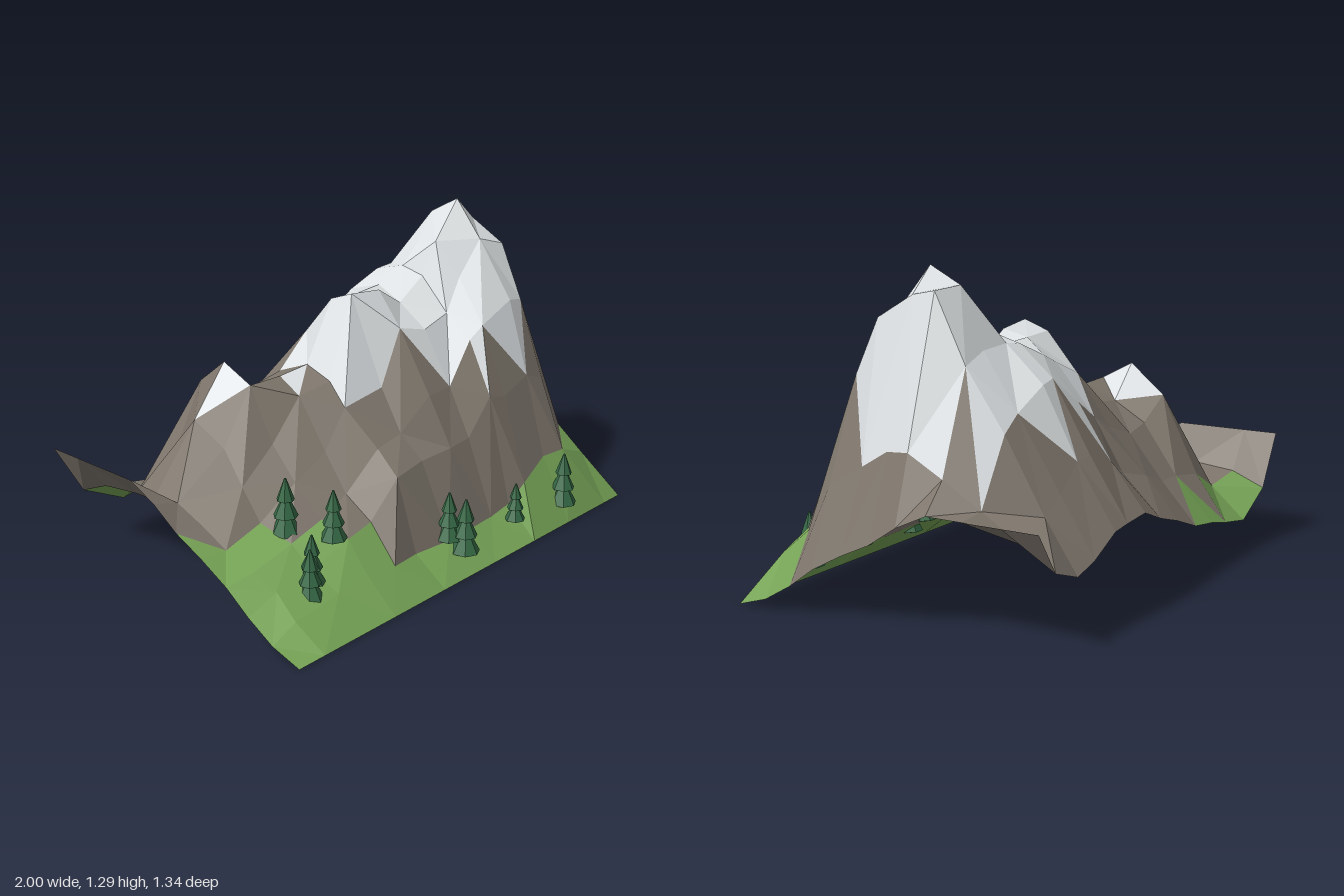
import * as THREE from 'three';
import { mergeGeometries } from 'three/addons/utils/BufferGeometryUtils.js';

const paint = (name, color, extra = {}) => {
  const m = new THREE.MeshStandardMaterial({ color, flatShading: true, ...extra });
  m.name = name;
  return m;
};

function seeded(seed) {
  return () => {
    seed = (seed * 16807) % 2147483647;
    return seed / 2147483647;
  };
}

// Depth of each station along a cross-section, back to front (the front edge lies at height 0)
const ROWS = [-0.67, -0.52, -0.36, -0.21, -0.08, 0.04, 0.17, 0.3, 0.41, 0.53, 0.66];

// Heights along both side edges, back to front
const EDGE = [0.46, 0.46, 0.46, 0.46, 0.4, 0.32, 0.26, 0.19, 0.11, 0.04];

// Mountain cross-sections: x, then the heights from back to front
const INNER = [
  [-0.87, 0.24, 0.3, 0.32, 0.34, 0.36, 0.3, 0.25, 0.21, 0.16, 0.09],
  [-0.67, 0.14, 0.27, 0.42, 0.61, 0.52, 0.4, 0.29, 0.25, 0.18, 0.11],
  [-0.49, 0.17, 0.36, 0.68, 0.8, 0.73, 0.52, 0.4, 0.29, 0.24, 0.14],
  [-0.35, 0.2, 0.38, 0.58, 0.66, 0.725, 0.67, 0.48, 0.34, 0.26, 0.12],
  [-0.2, 0.22, 0.38, 0.56, 0.68, 0.74, 0.7, 0.62, 0.48, 0.4, 0.11],
  [-0.03, 0.28, 0.44, 0.62, 0.82, 0.98, 1.02, 0.66, 0.5, 0.41, 0.11],
  [0.11, 0.32, 0.48, 0.68, 0.88, 0.97, 1.0, 0.87, 0.62, 0.42, 0.11],
  [0.24, 0.37, 0.55, 0.76, 0.93, 0.97, 0.92, 0.84, 0.62, 0.43, 0.11],
  [0.38, 0.36, 0.6, 0.87, 0.99, 1.03, 1.0, 0.87, 0.78, 0.57, 0.13],
  [0.47, 0.35, 0.59, 0.86, 1.0, 1.1, 1.14, 1.0, 0.83, 0.55, 0.2],
  [0.62, 0.28, 0.5, 0.78, 0.99, 1.22, 1.29, 1.14, 0.9, 0.59, 0.26],
  [0.74, 0.25, 0.44, 0.72, 0.95, 1.21, 1.19, 1.1, 0.88, 0.55, 0.26],
  [0.89, 0.3, 0.38, 0.47, 0.57, 0.65, 0.64, 0.57, 0.48, 0.3, 0.2],
];
const SECTIONS = [[-1, ...EDGE], ...INNER, [1, ...EDGE]];

// Sheet of facets, sorted into grass, rock or snow by height
function buildMountain(mats) {
  const rand = seeded(29);
  const lastX = SECTIONS.length - 1, lastZ = ROWS.length - 1;
  const points = SECTIONS.map(([x, ...heights], i) => ROWS.map((z, j) => {
    const inner = i > 0 && i < lastX && j > 0 && j < lastZ;
    const dx = (rand() - 0.5) * 0.04, dz = (rand() - 0.5) * 0.03;
    return new THREE.Vector3(x + (inner ? dx : 0), heights[j] ?? 0, z + (inner ? dz : 0));
  }));

  const bins = { grass: [], rock: [], snow: [] };
  const facet = (a, b, c) => {
    const mean = (a.y + b.y + c.y) / 3;
    const low = mean < 0.277 && Math.max(a.y, b.y, c.y) < 0.4;
    bins[mean > 0.71 ? 'snow' : low ? 'grass' : 'rock'].push(a, b, c);
  };
  for (let i = 0; i < lastX; i++) {
    for (let j = 0; j < lastZ; j++) {
      const a = points[i][j], b = points[i][j + 1];
      const c = points[i + 1][j + 1], d = points[i + 1][j];
      // Alternate diagonals give the jagged snow line; the right edge keeps one direction
      if ((i + j) % 2 || i === lastX - 1) { facet(a, b, c); facet(a, c, d); }
      else { facet(a, b, d); facet(b, c, d); }
    }
  }

  const mountain = new THREE.Group();
  mountain.name = 'mountain';
  for (const [name, verts] of Object.entries(bins)) {
    const geo = new THREE.BufferGeometry().setFromPoints(verts);
    geo.computeVertexNormals();
    const mesh = new THREE.Mesh(geo, mats[name]);
    mesh.name = name + 'Slopes';
    mountain.add(mesh);
  }
  return mountain;
}

// Unit-height conifer: trunk and three stacked tiers
function buildTree(mats) {
  const tree = new THREE.Group();
  const trunk = new THREE.Mesh(new THREE.CylinderGeometry(0.045, 0.05, 0.2, 6).translate(0, 0.07, 0), mats.bark);
  trunk.name = 'trunk';
  const tiers = [[0.265, 0.03, 0.45], [0.215, 0.33, 0.4], [0.155, 0.62, 0.38]].map(([radius, bottom, height]) =>
    new THREE.CylinderGeometry(radius * 0.12, radius, height, 7).translate(0, bottom + height / 2, 0));
  const foliage = new THREE.Mesh(mergeGeometries(tiers), mats.needles);
  foliage.name = 'foliage';
  tree.add(trunk, foliage);
  return tree;
}

// Trees: x, z, base height, tree height
const TREES = [
  [-0.635, 0.24, 0.255, 0.225], [-0.53, 0.385, 0.24, 0.2],
  [-0.74, 0.465, 0.1, 0.2], [-0.7, 0.435, 0.14, 0.195],
  [-0.035, 0.54, 0.115, 0.2], [0, 0.595, 0.065, 0.225],
  [0.34, 0.585, 0.085, 0.16], [0.64, 0.61, 0.065, 0.225],
];

export function createModel() {
  const sheet = { side: THREE.DoubleSide };
  const mats = {
    grass: paint('grass green', 0x78a658, sheet),
    rock: paint('rock brown', 0x7f776d, sheet),
    snow: paint('snow white', 0xdfe3e5, sheet),
    needles: paint('needle green', 0x356845),
    bark: paint('bark brown', 0x4f3b2a),
  };
  const model = new THREE.Group();
  model.name = 'snowyMountain';
  model.add(buildMountain(mats));
  TREES.forEach(([x, z, base, height], i) => {
    const tree = buildTree(mats);
    tree.name = 'tree' + (i + 1);
    tree.position.set(x, base, z);
    tree.scale.setScalar(height);
    tree.rotation.y = i * 0.9;
    model.add(tree);
  });
  return model;
}
